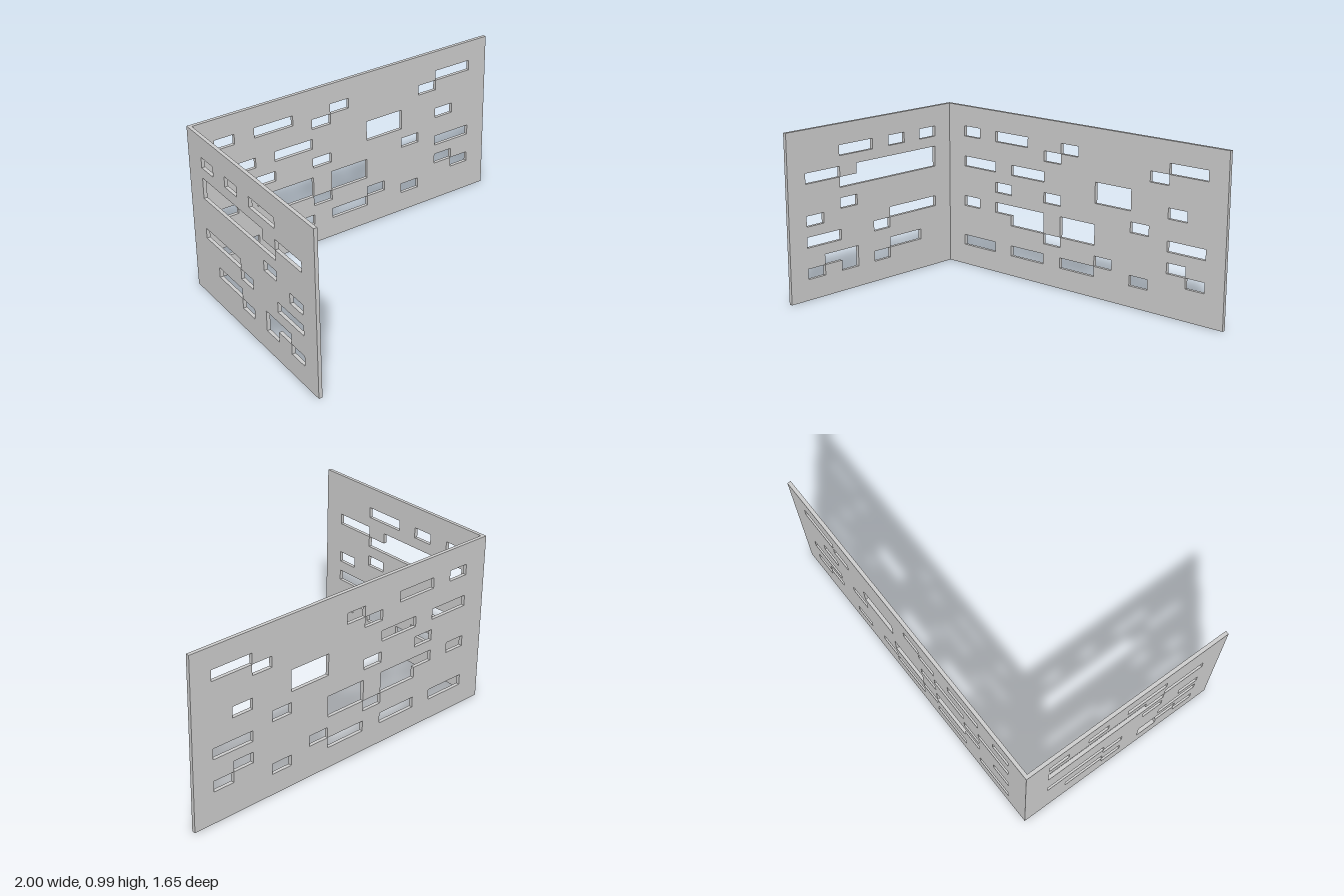
import * as THREE from 'three';

const CELL = 0.1256, ROW = 0.062, ROWS = 16, THICK = 0.021, MITRE = 0.0203;
const CORNER = new THREE.Vector3(-0.976, 0, -0.413); // inner foot of the corner

// Openings per brick course: row -> [start, end] columns counted from the corner
const backOpenings = {
  13: [[1, 2], [3, 5], [7, 8], [13, 15]],
  12: [[6, 7], [12, 13]],
  10: [[1, 3], [4, 6], [9, 11]],
  9: [[9, 11], [13, 14]],
  8: [[3, 4], [6, 7]],
  7: [[11, 12]],
  6: [[1, 2], [3, 6], [7, 9], [13, 15]],
  5: [[4, 6], [7, 9]],
  4: [[6, 7], [13, 14]],
  3: [[9, 10], [14, 15]],
  2: [[1, 3], [4, 6], [7, 9], [11, 12]],
};
const sideOpenings = {
  13: [[1, 2], [3, 4], [5, 7]],
  11: [[1, 6], [7, 9]],
  10: [[1, 7]],
  8: [[6, 7]],
  7: [[8, 9]],
  6: [[1, 4]],
  5: [[4, 5], [7, 9]],
  3: [[2, 4], [6, 8]],
  2: [[4, 5], [6, 7], [8, 9]],
};

// Perforated slab on a grid: every solid cell gets its two faces, plus a
// reveal wherever its neighbour is open. The corner end is mitred.
function perforatedPanel(name, along, outward, cols, openings, mirrored, material) {
  const solid = (i, j) => i >= 0 && i < cols && j >= 0 && j < ROWS &&
    !(openings[j] || []).some(([a, b]) => i >= a && i < b);
  const positions = [];
  const point = ([i, j, d]) => CORNER.clone()
    .addScaledVector(along, i * CELL - (i === 0 && d ? MITRE : 0))
    .addScaledVector(outward, d * THICK)
    .setY(j * ROW);
  const quad = (...corners) => {
    const p = corners.map(point);
    if (mirrored) p.reverse();
    for (const k of [0, 1, 2, 0, 2, 3]) positions.push(p[k].x, p[k].y, p[k].z);
  };
  for (let i = 0; i < cols; i++) {
    for (let j = 0; j < ROWS; j++) {
      if (!solid(i, j)) continue;
      const a = i + 1, b = j + 1;
      quad([i, j, 0], [a, j, 0], [a, b, 0], [i, b, 0]); // inner face
      quad([i, j, 1], [i, b, 1], [a, b, 1], [a, j, 1]); // outer face
      if (!solid(i, j - 1)) quad([i, j, 0], [i, j, 1], [a, j, 1], [a, j, 0]);
      if (!solid(i, b)) quad([i, b, 0], [a, b, 0], [a, b, 1], [i, b, 1]);
      if (i > 0 && !solid(i - 1, j)) quad([i, j, 0], [i, b, 0], [i, b, 1], [i, j, 1]);
      if (!solid(a, j)) quad([a, j, 0], [a, j, 1], [a, b, 1], [a, b, 0]);
    }
  }
  const geometry = new THREE.BufferGeometry();
  geometry.setAttribute('position', new THREE.Float32BufferAttribute(positions, 3));
  geometry.computeVertexNormals();
  const mesh = new THREE.Mesh(geometry, material);
  mesh.name = name;
  return mesh;
}

export function createModel() {
  const group = new THREE.Group();
  group.name = 'cornerScreen';
  const material = new THREE.MeshStandardMaterial({ color: 0xcccccc, flatShading: true });
  const backAngle = THREE.MathUtils.degToRad(11.1);
  const sideAngle = THREE.MathUtils.degToRad(9.2);

  // Long panel across the back
  group.add(perforatedPanel('backPanel',
    new THREE.Vector3(Math.cos(backAngle), 0, -Math.sin(backAngle)),
    new THREE.Vector3(-Math.sin(backAngle), 0, -Math.cos(backAngle)),
    16, backOpenings, false, material));

  // Short panel running forward from the corner
  group.add(perforatedPanel('sidePanel',
    new THREE.Vector3(Math.sin(sideAngle), 0, Math.cos(sideAngle)),
    new THREE.Vector3(-Math.cos(sideAngle), 0, Math.sin(sideAngle)),
    10, sideOpenings, true, material));

  return group;
}
